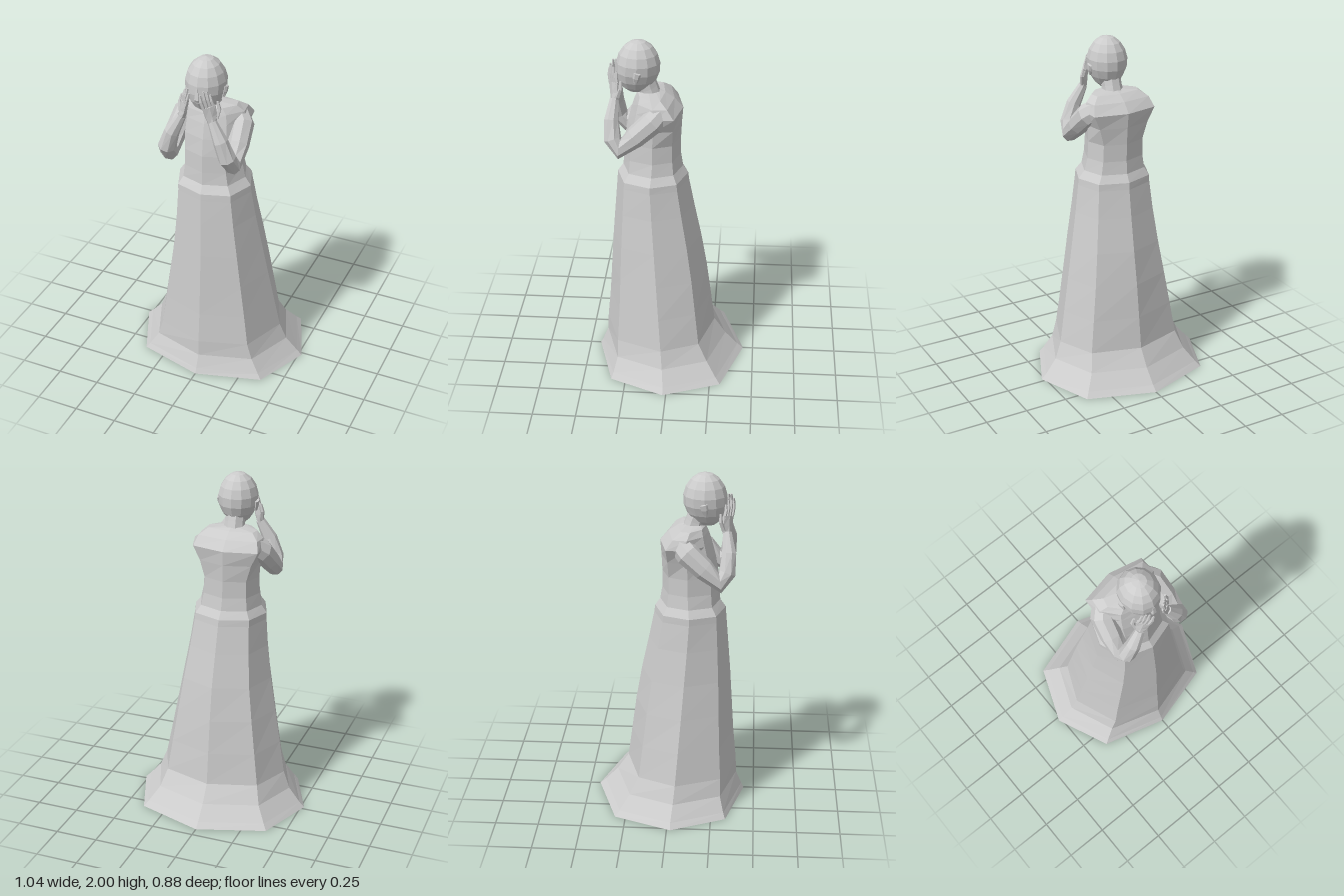
import * as THREE from 'three';

const CX = -0.025; // mirror axis of the upper body
const grey = new THREE.MeshStandardMaterial({ color: 0xcccccc, flatShading: true });
const cloth = new THREE.MeshStandardMaterial({ color: 0xcccccc, flatShading: true, side: THREE.DoubleSide });

// Skin a list of equal rings (arrays of Vector3) with quads; optionally cap the ends
function loft(name, rings, material, capStart, capEnd) {
  const n = rings[0].length;
  const pos = rings.flatMap(r => r.flatMap(p => p.toArray()));
  const index = [];
  for (let j = 0; j < rings.length - 1; j++) {
    for (let i = 0; i < n; i++) {
      const a = j * n + i, b = j * n + (i + 1) % n;
      index.push(a, b, b + n, a, b + n, a + n);
    }
  }
  const last = (rings.length - 1) * n;
  for (let i = 1; i < n - 1; i++) {
    if (capStart) index.push(0, i + 1, i);
    if (capEnd) index.push(last, last + i, last + i + 1);
  }
  const g = new THREE.BufferGeometry();
  g.setAttribute('position', new THREE.Float32BufferAttribute(pos, 3));
  g.setIndex(index);
  g.computeVertexNormals();
  const mesh = new THREE.Mesh(g, material);
  mesh.name = name;
  return mesh;
}

// Tapered limb: points [x, y, z, radiusAlongHint, radiusAcross]
function limb(name, pts, hint, sides = 6) {
  const c = pts.map(p => new THREE.Vector3(p[0], p[1], p[2]));
  const rings = pts.map((p, j) => {
    const dir = new THREE.Vector3();
    if (j > 0) dir.add(c[j].clone().sub(c[j - 1]).normalize());
    if (j < c.length - 1) dir.add(c[j + 1].clone().sub(c[j]).normalize());
    dir.normalize();
    const u = hint.clone().addScaledVector(dir, -hint.dot(dir)).normalize();
    const v = dir.clone().cross(u);
    return Array.from({ length: sides }, (_, i) => {
      const a = ((i + 0.5) / sides) * Math.PI * 2;
      return c[j].clone().addScaledVector(u, Math.cos(a) * p[3]).addScaledVector(v, Math.sin(a) * p[4]);
    });
  });
  return loft(name, rings, grey, true, true);
}

// Eight-sided dress section: height, centre x, half width, front z, side z, back z, diagonal factors
function section([y, cx, hx, zf, zs, zb, kf = 0.73, kb = 0.75]) {
  const at = (x, z) => new THREE.Vector3(cx + x, y, z);
  const f = zs + (zf - zs) * 0.75, b = zs + (zb - zs) * 0.72;
  return [at(hx, zs), at(hx * kb, b), at(0, zb), at(-hx * kb, b),
    at(-hx, zs), at(-hx * kf, f), at(0, zf), at(hx * kf, f)];
}

function addArm(group, s) {
  const side = s > 0 ? 'left' : 'right';
  const X = off => CX + s * off;
  const across = new THREE.Vector3(1, 0, 0);
  group.add(limb(side + 'Arm', [
    [X(0.12), 1.635, 0.04, 0.055, 0.06],
    [X(0.175), 1.58, 0.1, 0.066, 0.068],
    [X(0.188), 1.50, 0.19, 0.062, 0.062],
    [X(0.19), 1.425, 0.28, 0.055, 0.062],
    [X(0.18), 1.48, 0.32, 0.052, 0.05],
    [X(0.145), 1.58, 0.328, 0.043, 0.042],
    [X(0.09), 1.685, 0.315, 0.026, 0.026],
  ], across, 8));

  // Hand turned diagonally, cupped over the face
  const hand = new THREE.Group();
  hand.name = side + 'Hand';
  const w = new THREE.Vector3(-s * 0.72, 0, 0.69);
  hand.add(limb(side + 'Palm', [
    [X(0.092), 1.67, 0.313, 0.024, 0.022],
    [X(0.082), 1.72, 0.312, 0.038, 0.018],
    [X(0.072), 1.775, 0.318, 0.042, 0.013],
  ], w));
  const lengths = [0.075, 0.095, 0.1, 0.08];
  lengths.forEach((len, i) => {
    const t = (i - 1.5) * 0.02;
    const x = 0.072 - 0.72 * t, z = 0.318 + 0.69 * t;
    hand.add(limb(side + 'Finger', [
      [X(x), 1.765, z, 0.011, 0.011],
      [X(x - 0.012), 1.765 + len * 0.55, z + 0.008, 0.01, 0.01],
      [X(x - 0.02), 1.765 + len, z + 0.007, 0.006, 0.006],
    ], w, 5));
  });
  hand.add(limb(side + 'Thumb', [
    [X(0.105), 1.70, 0.295, 0.014, 0.014],
    [X(0.115), 1.75, 0.278, 0.012, 0.012],
    [X(0.105), 1.795, 0.277, 0.007, 0.007],
  ], w, 5));
  group.add(hand);
}

export function createModel() {
  const model = new THREE.Group();

  // Flared skirt, open below
  const waist = [1.2, -0.012, 0.22, 0.312, 0.11, -0.095];
  model.add(loft('skirt', [
    [0, 0, 0.52, 0.44, 0.02, -0.44],
    [0.03, 0, 0.49, 0.425, 0.02, -0.405],
    [0.11, 0, 0.42, 0.392, 0.03, -0.33],
    [0.21, 0, 0.38, 0.388, 0.04, -0.262],
    [0.4, 0, 0.345, 0.37, 0.055, -0.237],
    [0.6, 0, 0.308, 0.357, 0.07, -0.21],
    [0.8, 0, 0.272, 0.344, 0.085, -0.175],
    [1.0, -0.005, 0.241, 0.328, 0.1, -0.132],
    [1.16, -0.01, 0.222, 0.315, 0.11, -0.1],
    waist,
  ].map(section), cloth));

  // Bodice rising to square shoulders
  model.add(loft('bodice', [
    waist,
    [1.245, -0.015, 0.187, 0.28, 0.105, -0.065],
    [1.32, -0.018, 0.172, 0.274, 0.1, -0.053],
    [1.42, -0.02, 0.168, 0.268, 0.1, -0.052],
    [1.52, -0.022, 0.175, 0.25, 0.095, -0.057, 0.72, 0.88],
    [1.605, -0.024, 0.2, 0.228, 0.085, -0.064, 0.6, 0.97],
    [1.66, CX, 0.185, 0.21, 0.095, -0.015, 0.6, 0.95],
    [1.695, CX, 0.145, 0.195, 0.11, 0.037, 0.6, 0.92],
    [1.705, CX, 0.06, 0.18, 0.125, 0.07],
  ].map(section), cloth, false, true));

  // Neck
  model.add(limb('neck', [
    [CX, 1.66, 0.115, 0.064, 0.062],
    [CX, 1.72, 0.135, 0.058, 0.06],
    [CX, 1.79, 0.16, 0.058, 0.06],
  ], new THREE.Vector3(1, 0, 0), 8));

  // Head: faceted ball narrowed towards the chin
  const ball = new THREE.SphereGeometry(1, 12, 9);
  const p = ball.attributes.position;
  for (let i = 0; i < p.count; i++) {
    const low = Math.max(0, -p.getY(i));
    p.setX(i, p.getX(i) * (1 - 0.18 * low));
    p.setZ(i, p.getZ(i) + 0.12 * low);
  }
  ball.scale(0.116, 0.154, 0.125);
  ball.computeVertexNormals();
  const head = new THREE.Mesh(ball, grey);
  head.name = 'head';
  head.position.set(CX, 1.846, 0.188);
  model.add(head);

  // Nose
  model.add(limb('nose', [
    [CX, 1.785, 0.305, 0.018, 0.014],
    [CX, 1.80, 0.312, 0.016, 0.016],
    [CX, 1.86, 0.307, 0.008, 0.008],
  ], new THREE.Vector3(1, 0, 0), 4));

  for (const s of [1, -1]) {
    // Ears
    const x = CX + s * 0.112;
    model.add(limb(s > 0 ? 'leftEar' : 'rightEar', [
      [x - s * 0.008, 1.785, 0.195, 0.008, 0.01],
      [x, 1.815, 0.19, 0.011, 0.02],
      [x + s * 0.004, 1.845, 0.183, 0.01, 0.022],
    ], new THREE.Vector3(1, 0, 0)));
    addArm(model, s);
  }
  return model;
}
